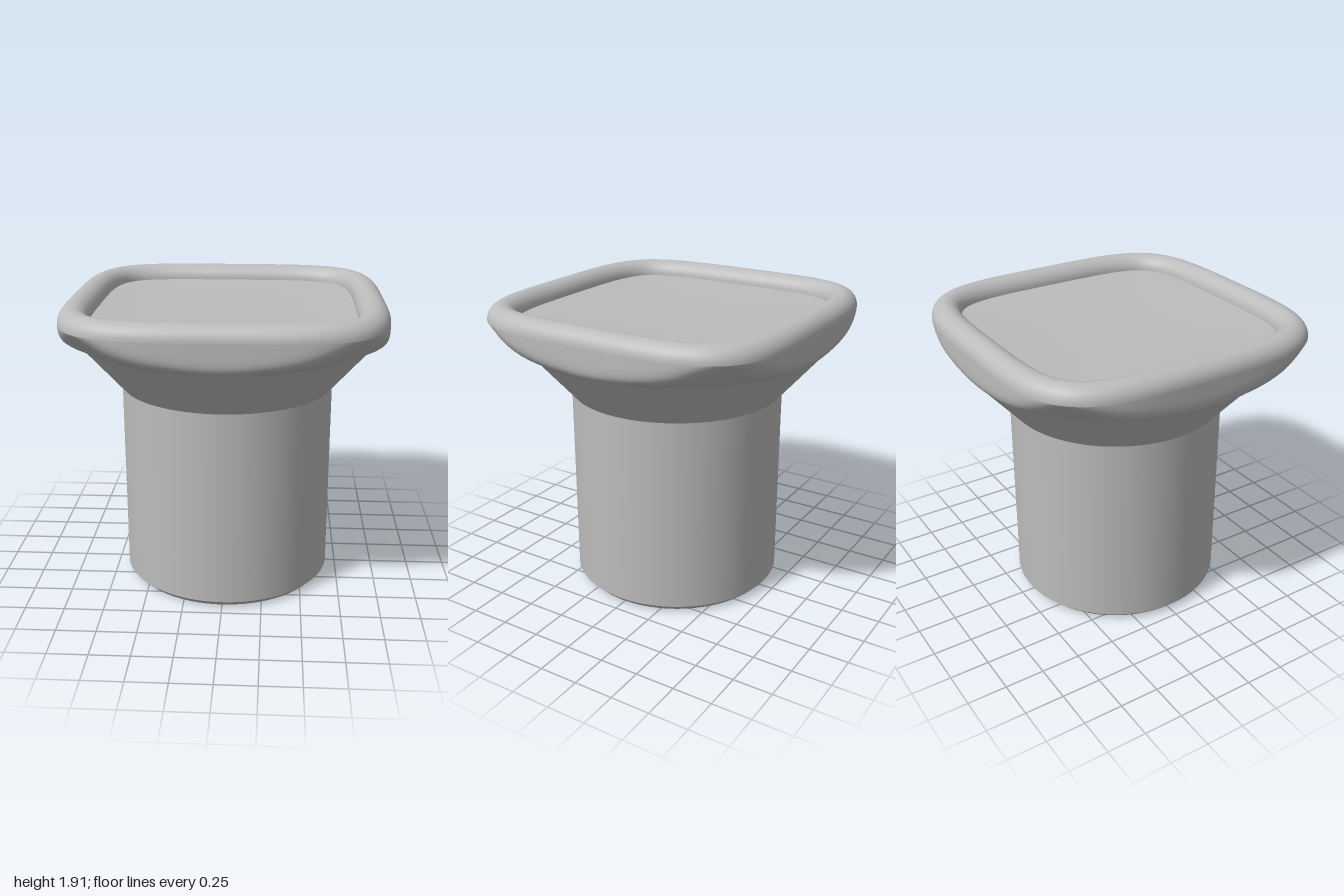
import * as THREE from 'three';

const SEGMENTS = 128;
const RIM_Y = 1.815, RIM_R = 0.095, FLARE_Y = 1.62, FLARE_R = 0.96;

// Point on the rounded-square outline, moved inwards by `inset` along its normal
function outline(angle, inset = 0) {
  const s = Math.sin(angle), c = Math.cos(angle);
  const r = (s ** 4 + c ** 4) ** -0.25;
  const n = Math.hypot(s ** 3, c ** 3);
  return { r, x: r * s - (inset * s ** 3) / n, z: r * c - (inset * c ** 3) / n };
}

// Surface through closed rings; point(angle, t) gives [x, y, z] for t from 0 to 1
function loft(rows, point) {
  const positions = [], index = [];
  for (let j = 0; j <= rows; j++) {
    for (let i = 0; i < SEGMENTS; i++) {
      positions.push(...point((i / SEGMENTS) * Math.PI * 2, j / rows));
      if (j === rows) continue;
      const next = (i + 1) % SEGMENTS;
      const a = j * SEGMENTS + i, b = j * SEGMENTS + next;
      index.push(a, b, b + SEGMENTS, a, b + SEGMENTS, a + SEGMENTS);
    }
  }
  const geometry = new THREE.BufferGeometry();
  geometry.setAttribute('position', new THREE.Float32BufferAttribute(positions, 3));
  geometry.setIndex(index);
  geometry.computeVertexNormals();
  return geometry;
}

export function createModel() {
  const model = new THREE.Group();
  const grey = new THREE.MeshStandardMaterial({ color: 0xbcbcbc });
  grey.name = 'light grey';

  const add = (name, geometry) => {
    const mesh = new THREE.Mesh(geometry, grey);
    mesh.name = name;
    model.add(mesh);
  };

  // Turned parts: one band per profile segment keeps the edges sharp
  const profile = [
    ['boreEnd', 0, 1.2], ['boreWall', 0.345, 1.2], ['boreChamfer', 0.345, 0.04],
    ['stemBottom', 0.385, 0], ['stemChamfer', 0.645, 0], ['stem', 0.685, 0.04],
    ['flare', 0.685, 1.305], ['end', FLARE_R, FLARE_Y],
  ];
  for (let i = 0; i < profile.length - 1; i++) {
    const [name, r0, y0] = profile[i], [, r1, y1] = profile[i + 1];
    add(name, new THREE.LatheGeometry(
      [new THREE.Vector2(r0, y0), new THREE.Vector2(r1, y1)], SEGMENTS));
  }

  // Head wall: round below, rounded square above; steep at the sides, sloping at the corners
  add('headWall', loft(20, (angle, t) => {
    const { r } = outline(angle);
    const corner = Math.min(1, (r - 1) / 0.19);
    const bend = THREE.MathUtils.lerp(7, 1.1, corner);
    const radius = FLARE_R + (r - FLARE_R) * (1 - (1 - t) ** bend);
    return [radius * Math.sin(angle), FLARE_Y + (RIM_Y - FLARE_Y) * t, radius * Math.cos(angle)];
  }));

  // Half-round rim
  add('rim', loft(20, (angle, t) => {
    const p = outline(angle, RIM_R * (1 - Math.cos(t * Math.PI)));
    return [p.x, RIM_Y + RIM_R * Math.sin(t * Math.PI), p.z];
  }));

  // Slightly dished top inside the rim
  add('dishedTop', loft(10, (angle, t) => {
    const p = outline(angle, RIM_R * 2), k = 1 - t;
    return [p.x * k, RIM_Y - 0.02 * (1 - k * k), p.z * k];
  }));

  return model;
}
